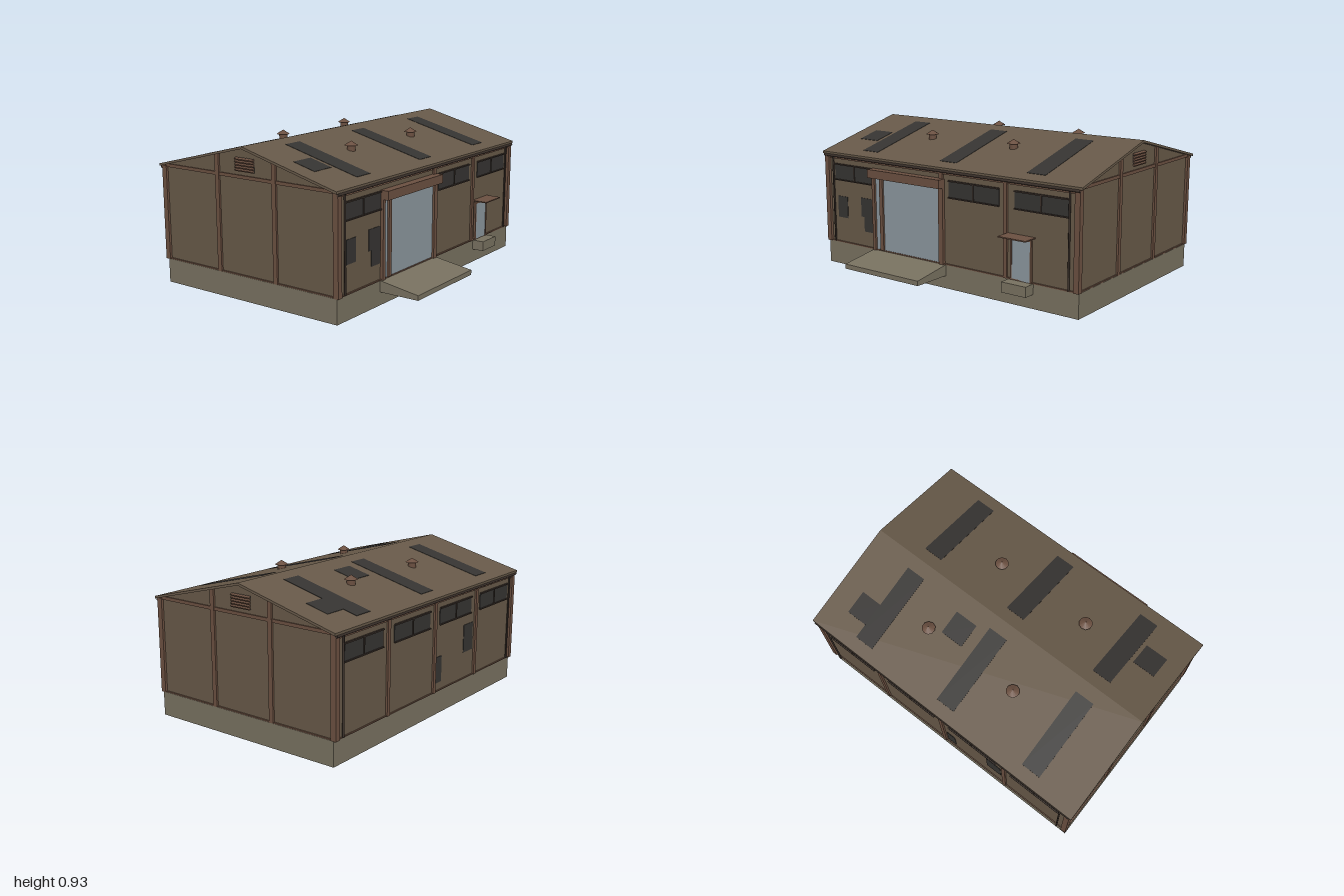
import * as THREE from 'three';

const mat = (color) => new THREE.MeshStandardMaterial({ color });
const M = {
  wall: mat(0x665847), roof: mat(0x665848), trim: mat(0x6a4f40),
  concrete: mat(0x77705f), door: mat(0x8a959c), dark: mat(0x353331), metal: mat(0x3a302a),
};

// Building section: ridge, eaves and wall planes
const RIDGE_Z = -0.122, RIDGE_Y = 0.925, SLOPE = 0.255;
const FRONT = 0.535, BACK = -0.778, SIDE = 0.97;
const roofY = (z) => RIDGE_Y - SLOPE * Math.abs(z - RIDGE_Z);

export function createModel() {
  const model = new THREE.Group();

  const add = (name, geometry, material) => {
    const mesh = new THREE.Mesh(geometry, material);
    mesh.name = name;
    model.add(mesh);
    return mesh;
  };

  // Box given by its limits on each axis
  const box = (name, material, x0, x1, y0, y1, z0, z1) => {
    const mesh = add(name, new THREE.BoxGeometry(x1 - x0, y1 - y0, z1 - z0), material);
    mesh.position.set((x0 + x1) / 2, (y0 + y1) / 2, (z0 + z1) / 2);
    return mesh;
  };

  // Prism along x from a list of [z, y] points
  const prism = (name, material, points, x0, x1) => {
    const shape = new THREE.Shape(points.map(([z, y]) => new THREE.Vector2(-z, y)));
    const geometry = new THREE.ExtrudeGeometry(shape, { depth: x1 - x0, bevelEnabled: false });
    geometry.rotateY(Math.PI / 2).translate(x0, 0, 0);
    return add(name, geometry, material);
  };

  // Foundation, gabled wall block and base trim
  box('foundation', M.concrete, -0.98, 0.98, 0, 0.15, -0.775, 0.54);
  prism('walls', M.wall, [
    [FRONT, 0.15], [BACK, 0.15], [BACK, roofY(BACK) - 0.012],
    [RIDGE_Z, RIDGE_Y - 0.012], [FRONT, roofY(FRONT) - 0.012],
  ], -SIDE, SIDE);
  box('baseTrim', M.trim, -0.978, 0.978, 0.15, 0.157, -0.785, 0.545);

  // Thin roof sheet over both slopes
  const T = 0.015;
  prism('roof', M.roof, [
    [0.555, roofY(0.555) - T], [0.555, roofY(0.555)], [RIDGE_Z, RIDGE_Y],
    [-0.8, roofY(-0.8)], [-0.8, roofY(-0.8) - T], [RIDGE_Z, RIDGE_Y - T],
  ], -1, 1);

  // Dark panels lying on the roof: x0, x1, z0, z1
  const roofPanel = (name, x0, x1, z0, z1) => {
    const a = 0.002;
    prism(name, M.dark, [
      [z0, roofY(z0) - a], [z1, roofY(z1) - a], [z1, roofY(z1) + a], [z0, roofY(z0) + a],
    ], x0, x1);
  };
  for (const x of [-0.645, 0, 0.643]) {
    roofPanel('skylight', x - 0.064, x + 0.064, -0.72, -0.205);
    roofPanel('skylight', x - 0.064, x + 0.064, -0.04, 0.475);
  }
  roofPanel('roofPatch', 0.7, 0.846, -0.63, -0.482);
  roofPanel('roofPatch', 0.137, 0.289, -0.393, -0.243);
  roofPanel('roofPatch', -0.885, -0.735, 0.167, 0.317);

  // Roof ventilators
  for (const [x, z] of [[-0.283, -0.425], [0.363, -0.425], [-0.368, 0.182], [0.277, 0.182]]) {
    const y = roofY(z);
    add('ventBody', new THREE.CylinderGeometry(0.026, 0.026, 0.045, 10), M.trim)
      .position.set(x, y + 0.008, z);
    add('ventCap', new THREE.ConeGeometry(0.042, 0.027, 10), M.trim)
      .position.set(x, y + 0.042, z);
  }

  // Corner posts
  for (const s of [-1, 1]) {
    const [a, b] = s > 0 ? [0.95, 0.985] : [-0.985, -0.95];
    box('cornerPost', M.trim, a, b, 0.15, 0.74, 0.518, 0.553);
    box('cornerPost', M.trim, a, b, 0.15, 0.74, -0.793, -0.758);

    // Gable posts, tie beam and louvre
    const [g0, g1] = s > 0 ? [SIDE, 0.982] : [-0.982, -SIDE];
    for (const z of [0.1, -0.335]) {
      const za = z - 0.015, zb = z + 0.015;
      prism('gablePost', M.trim, [
        [za, 0.15], [zb, 0.15], [zb, roofY(zb) - T], [za, roofY(za) - T],
      ], g0, g1);
    }
    box('gableBeam', M.trim, s > 0 ? SIDE : -0.978, s > 0 ? 0.978 : -SIDE, 0.732, 0.752, -0.77, 0.53);
    box('louvreBack', M.dark, s > 0 ? SIDE : -0.972, s > 0 ? 0.972 : -SIDE, 0.775, 0.855, -0.19, -0.05);
    for (let i = 0; i < 5; i++) {
      const slat = box('louvreSlat', M.trim, s * 0.976 - 0.008, s * 0.976 + 0.008,
        0.778 + i * 0.016, 0.787 + i * 0.016, -0.19, -0.05);
      slat.rotation.z = -s * 0.5;
    }
  }

  // Long walls: posts, gutter, downpipes
  for (const [face, s] of [[FRONT, 1], [BACK, -1]]) {
    // Box standing off the wall by depth d
    const onWall = (name, m, x0, x1, y0, y1, d) =>
      box(name, m, x0, x1, y0, y1, Math.min(face, face + s * d), Math.max(face, face + s * d));

    for (const x of s > 0 ? [0, 0.478] : [-0.49, 0, 0.49])
      onWall('wallPost', M.trim, x - 0.013, x + 0.013, 0.15, 0.735, 0.012);
    onWall('eaveBeam', M.trim, -0.95, 0.95, 0.71, 0.735, 0.008);
    const gutter = add('gutter', new THREE.CylinderGeometry(0.009, 0.009, 1.97, 8), M.metal);
    gutter.rotation.z = Math.PI / 2;
    gutter.position.set(0, 0.731, face + s * 0.018);
    for (const x of [-0.915, 0.915])
      add('downpipe', new THREE.CylinderGeometry(0.006, 0.006, 0.57, 8), M.metal)
        .position.set(x, 0.44, face + s * 0.012);

    // High windows with a middle bar, sill and head
    const bays = [[-0.908, -0.56], [0.055, 0.43], [0.54, 0.905]];
    if (s < 0) bays.splice(0, 1, [-0.905, -0.54], [-0.43, -0.055]);
    for (const [a, b] of bays) {
      onWall('window', M.dark, a, b, 0.575, 0.67, 0.004);
      onWall('windowHead', M.metal, a, b, 0.67, 0.678, 0.012);
      onWall('windowSill', M.metal, a, b, 0.568, 0.575, 0.012);
      onWall('windowBar', M.metal, (a + b) / 2 - 0.004, (a + b) / 2 + 0.004, 0.575, 0.67, 0.009);
    }

    // Dark wall patches
    const patches = s > 0
      ? [[-0.89, -0.803, 0.32, 0.462], [-0.68, -0.57, 0.35, 0.475], [-0.655, -0.57, 0.253, 0.35]]
      : [[-0.09, -0.025, 0.205, 0.37], [-0.46, -0.35, 0.325, 0.505]];
    for (const [a, b, c, d] of patches) onWall('wallPatch', M.dark, a, b, c, d, 0.003);
  }

  // Large sliding door with frame, header and edge strip
  box('slidingDoor', M.door, -0.545, -0.005, 0.157, 0.63, FRONT, 0.541);
  box('doorFrame', M.trim, -0.565, -0.542, 0.15, 0.64, FRONT, 0.555);
  box('doorFrame', M.trim, -0.015, 0.02, 0.15, 0.64, FRONT, 0.555);
  box('doorEdge', M.trim, -0.503, -0.475, 0.157, 0.63, 0.541, 0.553);
  box('doorHeader', M.trim, -0.567, 0.022, 0.628, 0.682, FRONT, 0.59);

  // Loading ramp
  prism('ramp', M.concrete, [[0.8, 0.08], [0.535, 0.08], [0.535, 0.15], [0.8, 0.11]], -0.572, 0.028);

  // Side door with canopy and step
  box('sideDoor', M.door, 0.527, 0.655, 0.15, 0.395, FRONT, 0.545);
  box('sideDoorFrame', M.trim, 0.517, 0.527, 0.15, 0.403, FRONT, 0.549);
  box('sideDoorFrame', M.trim, 0.655, 0.665, 0.15, 0.403, FRONT, 0.549);
  box('sideDoorFrame', M.trim, 0.517, 0.665, 0.395, 0.403, FRONT, 0.549);
  box('canopy', M.trim, 0.492, 0.685, 0.416, 0.423, FRONT, 0.637);
  box('step', M.concrete, 0.503, 0.675, 0.087, 0.15, FRONT, 0.617);

  return model;
}
